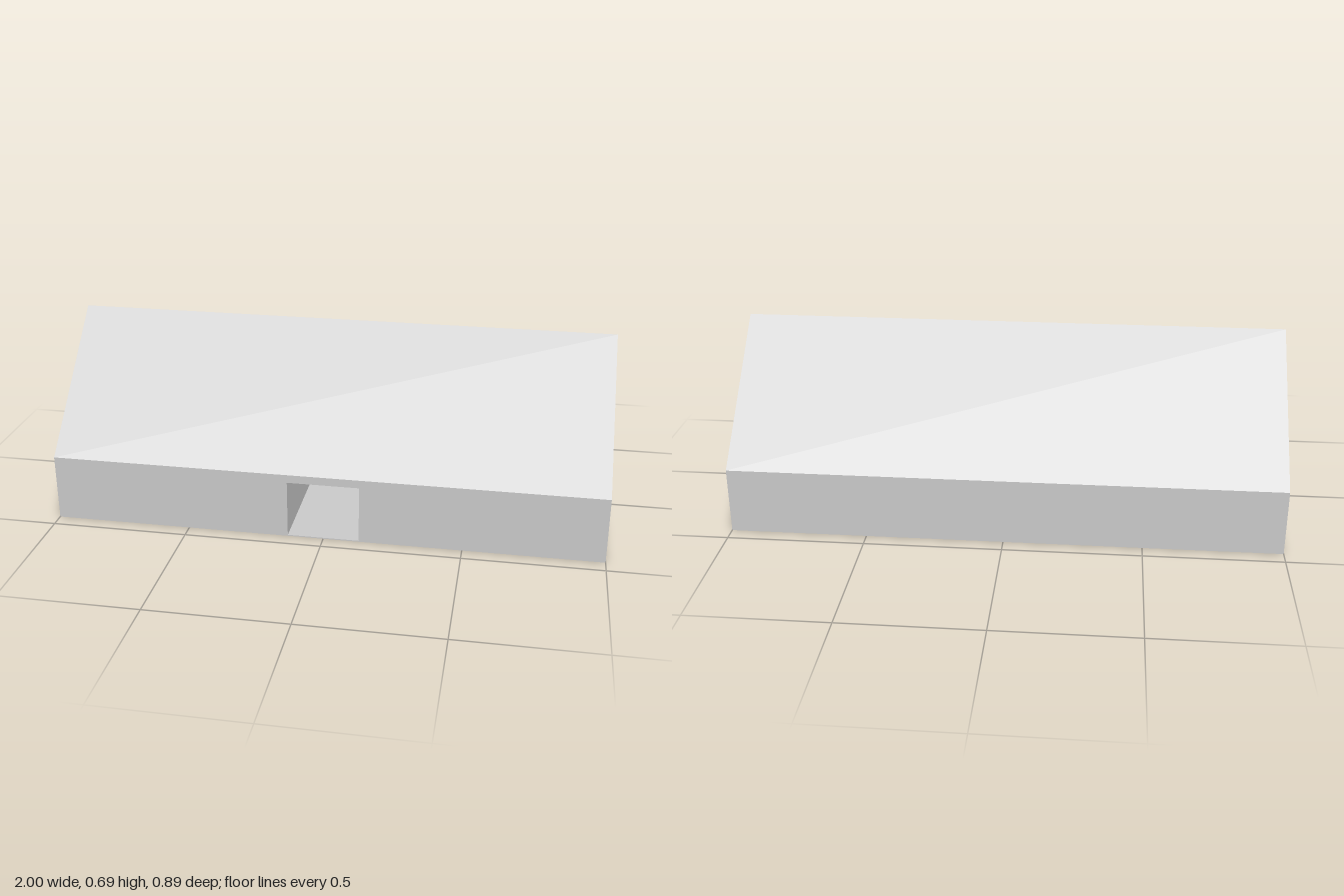
import * as THREE from 'three';

const L = 1, D = 0.445, EAVE = 0.245, RIDGE = 0.685;          // half length, half depth, heights
const DOOR = { x: 0.13, top: 0.215, floor: 0.004, back: 0 };  // doorway recess

const material = new THREE.MeshStandardMaterial({ color: 0xcccccc, flatShading: true });

const outline = (pts) => pts.map(([x, y]) => new THREE.Vector2(x, y));

function addMesh(group, name, geometry) {
  const mesh = new THREE.Mesh(geometry, material);
  mesh.name = name;
  group.add(mesh);
  return mesh;
}

// Flat four-cornered panel, corners counter-clockwise seen from its front
function panel(a, b, c, d) {
  const geometry = new THREE.BufferGeometry();
  geometry.setAttribute('position', new THREE.Float32BufferAttribute([a, b, c, d].flat(), 3));
  geometry.setIndex([0, 1, 2, 0, 2, 3]);
  geometry.computeVertexNormals();
  return geometry;
}

export function createModel() {
  const house = new THREE.Group();
  house.name = 'gabledHouse';

  // Long front wall with the doorway cut out
  const { x, top, floor, back } = DOOR;
  const front = new THREE.Shape(outline([[-L, 0], [L, 0], [L, EAVE], [-L, EAVE]]));
  front.holes.push(new THREE.Path(outline([[-x, floor], [-x, top], [x, top], [x, floor]])));
  addMesh(house, 'frontWall', new THREE.ShapeGeometry(front)).position.z = D;

  // Plain back wall and base
  addMesh(house, 'backWall', panel([L, 0, -D], [-L, 0, -D], [-L, EAVE, -D], [L, EAVE, -D]));
  addMesh(house, 'base', panel([-L, 0, -D], [L, 0, -D], [L, 0, D], [-L, 0, D]));

  // Gable ends and roof slopes, one of each per side
  const gable = new THREE.ShapeGeometry(
    new THREE.Shape(outline([[-D, 0], [D, 0], [D, EAVE], [0, RIDGE], [-D, EAVE]])));
  for (const s of [1, -1]) {
    const end = addMesh(house, s > 0 ? 'leftGable' : 'rightGable', gable);
    end.rotation.y = s * Math.PI / 2;
    end.position.x = s * L;
    addMesh(house, s > 0 ? 'frontRoof' : 'backRoof',
      panel([-s * L, EAVE, s * D], [s * L, EAVE, s * D], [s * L, RIDGE, 0], [-s * L, RIDGE, 0]));
  }

  // Doorway recess: floor, ceiling, back and two side walls
  const recess = new THREE.Group();
  recess.name = 'doorway';
  addMesh(recess, 'doorwayFloor', panel([-x, floor, D], [x, floor, D], [x, floor, back], [-x, floor, back]));
  addMesh(recess, 'doorwayCeiling', panel([-x, top, back], [x, top, back], [x, top, D], [-x, top, D]));
  addMesh(recess, 'doorwayBack', panel([-x, floor, back], [x, floor, back], [x, top, back], [-x, top, back]));
  addMesh(recess, 'doorwayRightSide', panel([-x, floor, D], [-x, floor, back], [-x, top, back], [-x, top, D]));
  addMesh(recess, 'doorwayLeftSide', panel([x, floor, back], [x, floor, D], [x, top, D], [x, top, back]));
  house.add(recess);

  return house;
}
